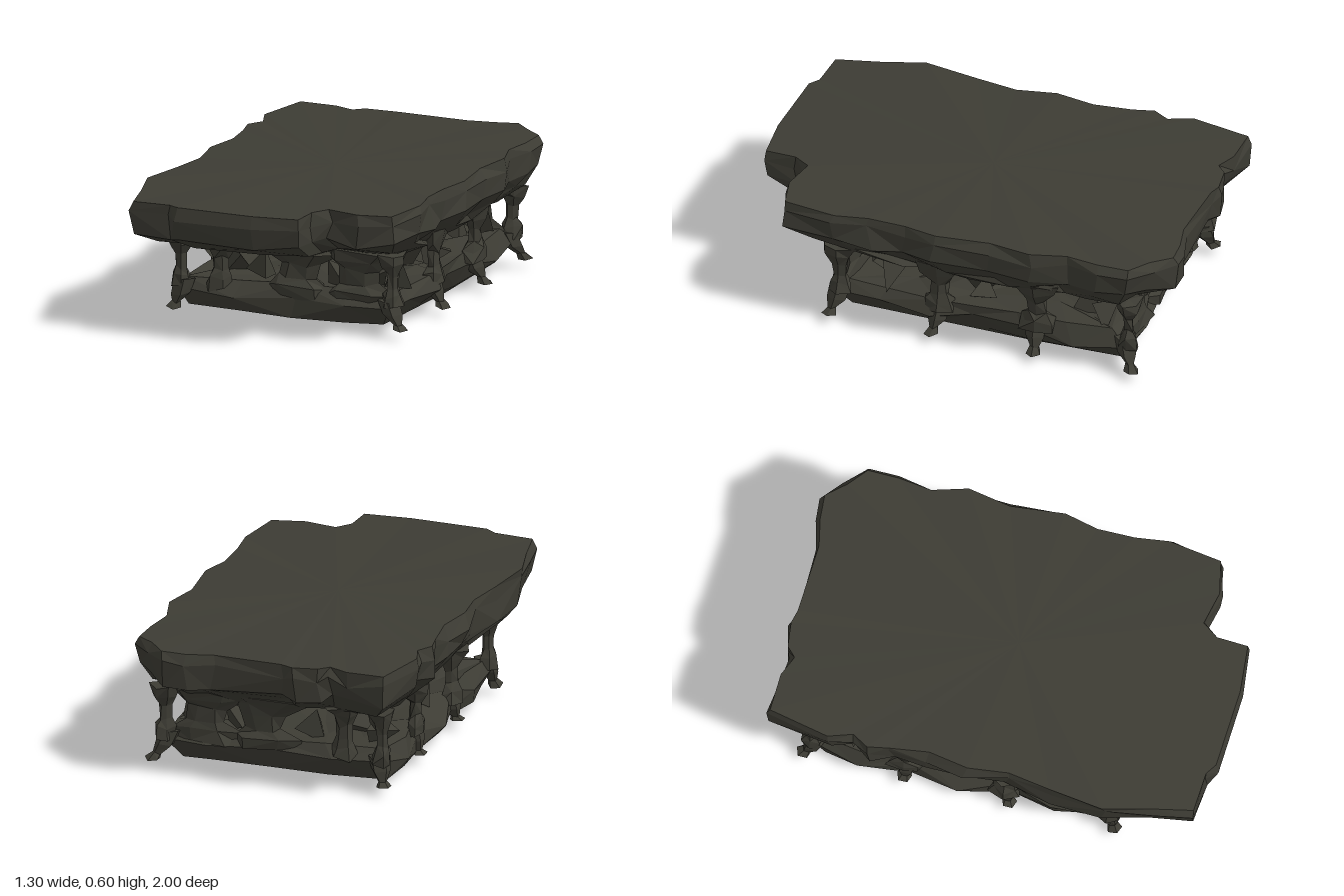
import * as THREE from 'three';

const stone = new THREE.MeshStandardMaterial({ color: 0x3d3c34, flatShading: true, side: THREE.DoubleSide });
stone.name = 'dark stone';

// Seeded roughness, from -1 to 1
let seed = 7;
function rough() {
  seed = (seed * 16807) % 2147483647;
  return (seed / 2147483647) * 2 - 1;
}

// Skin rings of [x, y, z] points, listed from top to bottom, and cap both ends with fans
function loft(name, rings, topCentre, bottomCentre) {
  const n = rings[0].length, last = (rings.length - 1) * n;
  const points = [...rings.flat(), topCentre, bottomCentre];
  const top = points.length - 2, bottom = top + 1;
  const index = [];
  for (let i = 0; i < n; i++) {
    const j = (i + 1) % n;
    index.push(top, j, i, bottom, last + i, last + j);
    for (let r = 0; r < last; r += n) {
      // Alternate the diagonals for a chipped look
      if ((i + r / n) % 2) index.push(r + i, r + j, r + n + i, r + j, r + n + j, r + n + i);
      else index.push(r + i, r + j, r + n + j, r + i, r + n + j, r + n + i);
    }
  }
  let g = new THREE.BufferGeometry();
  g.setAttribute('position', new THREE.Float32BufferAttribute(points.flat(), 3));
  g.setIndex(index);
  g = g.toNonIndexed();
  g.computeVertexNormals();
  const mesh = new THREE.Mesh(g, stone);
  mesh.name = name;
  return mesh;
}

// One ring of an outline, scaled and shifted, with rough edges
function ring(outline, y, sx, sz, dz, jitter, yJitter = jitter) {
  return outline.map(([x, z]) => [
    x * sx + rough() * jitter, y + rough() * yJitter, z * sz + dz + rough() * jitter,
  ]);
}

// Uneven column, pinched at the waist and flared into both slabs
function column(name, x, z, rx, rz) {
  const sides = 6;
  const levels = [[0.38, 2.3], [0.335, 1.7], [0.285, 0.9], [0.225, 0.9], [0.19, 1.5], [0.14, 1.6]];
  const rings = levels.map(([y, s]) => Array.from({ length: sides }, (_, i) => {
    const a = (i / sides) * Math.PI * 2;
    const k = s * (1 + 0.25 * rough());
    return [x + Math.cos(a) * rx * k, y + rough() * 0.012, z + Math.sin(a) * rz * k];
  }));
  return loft(name, rings, [x, 0.38, z], [x, 0.14, z]);
}

// Small splayed foot leaning out from the lower slab
function foot(x, z, dx, dz) {
  const levels = [[0.17, 0.05, 0], [0.11, 0.045, 0.35], [0.07, 0.02, 0.75], [0.045, 0.035, 1]];
  const rings = levels.map(([y, r, t]) => Array.from({ length: 5 }, (_, i) => {
    const a = (i / 5) * Math.PI * 2;
    return [x + dx * t + Math.cos(a) * r, y + rough() * 0.008, z + dz * t + Math.sin(a) * r];
  }));
  return loft('foot', rings, [x, 0.17, z], [x + dx, 0.05, z + dz]);
}

export function createModel() {
  seed = 7;
  const model = new THREE.Group();
  model.name = 'stone table';

  // Table top: broken outline with a notch in the front left corner
  const edge = [
    [-0.57, -0.975], [-0.4, -0.975], [-0.31, -0.94], [-0.27, -0.98], [-0.16, -0.99], [-0.1, -0.97],
    [0.22, -0.97], [0.34, -0.99], [0.45, -1], [0.53, -0.92], [0.62, -0.85], [0.62, -0.7],
    [0.6, -0.56], [0.645, -0.4], [0.62, -0.2], [0.64, 0.05], [0.6, 0.2], [0.61, 0.36],
    [0.63, 0.52], [0.6, 0.76], [0.45, 0.79], [0.3, 0.76], [0.24, 0.83], [0.24, 0.97],
    [0.02, 0.99], [-0.33, 0.98], [-0.38, 0.94], [-0.57, 0.93], [-0.6, 0.75], [-0.655, 0.55],
    [-0.63, 0.3], [-0.6, 0.1], [-0.63, -0.08], [-0.6, -0.25], [-0.61, -0.42], [-0.63, -0.52],
    [-0.6, -0.6], [-0.63, -0.7],
  ];
  model.add(loft('tableTop', [
    ring(edge, 0.602, 0.985, 0.99, 0, 0.008, 0.004),
    ring(edge, 0.55, 1, 1, 0, 0.012, 0.02),
    ring(edge, 0.46, 0.99, 0.985, 0, 0.018, 0.022),
    ring(edge, 0.4, 0.9, 0.87, -0.02, 0.025, 0.015),
    ring(edge, 0.345, 0.83, 0.68, -0.12, 0.022, 0.014),
    ring(edge, 0.365, 0.66, 0.52, -0.12, 0.03, 0.025),
    ring(edge, 0.385, 0.34, 0.27, -0.12, 0.03, 0.025),
  ], [0, 0.607, 0], [0, 0.39, -0.12]));

  // Lower slab: sagging underside with its low point off centre
  const base = [
    [-0.5, -0.78], [-0.25, -0.81], [0.05, -0.8], [0.3, -0.81], [0.49, -0.77], [0.53, -0.55],
    [0.5, -0.3], [0.52, -0.1], [0.53, 0.1], [0.5, 0.33], [0.5, 0.53], [0.28, 0.56],
    [0.04, 0.57], [-0.24, 0.55], [-0.5, 0.54], [-0.53, 0.3], [-0.5, 0.1], [-0.53, -0.12],
    [-0.5, -0.35], [-0.53, -0.58],
  ];
  const underside = ring(base, 0.05, 0.97, 0.95, 0, 0.015, 0.008)
    .map(([x, y, z]) => [Math.min(x, 0.44), y - 0.015 * Math.max(x, 0), z]);
  model.add(loft('lowerSlab', [
    ring(base, 0.185, 0.45, 0.45, -0.06, 0.03, 0.025),
    ring(base, 0.19, 0.75, 0.76, -0.03, 0.03, 0.025),
    ring(base, 0.185, 0.94, 0.94, 0, 0.02, 0.018),
    ring(base, 0.12, 1, 1, 0, 0.025, 0.025),
    underside,
  ], [0, 0.185, -0.12], [0.4, 0.003, -0.3]));

  // Side columns, mirrored, with their feet
  for (const s of [-1, 1]) {
    for (const [z, r] of [[0.53, 0.036], [0.07, 0.046], [-0.38, 0.05], [-0.8, 0.028]]) {
      model.add(column('sideColumn', s * 0.5, z, 0.028, r));
    }
    for (const [z, dz] of [[0.53, 0.03], [0.07, 0.02], [-0.37, -0.01], [-0.78, -0.05]]) {
      model.add(foot(s * 0.48, z, s * (s > 0 ? 0.07 : 0.04), dz));
    }
  }

  // Front and back columns
  for (const z of [0.51, -0.77]) {
    model.add(column('endColumn', -0.32, z, 0.04, 0.03));
    model.add(column('endColumn', 0.05, z, 0.1, 0.03));
    model.add(column('endColumn', 0.32, z, 0.1, 0.03));
  }

  // Broken shards standing between the columns around the rim
  const shards = [[-0.13, 0.42], [-0.13, -0.7], [0.2, 0.42], [0.2, -0.7]];
  for (const z of [0.31, -0.13, -0.64]) shards.push([-0.42, z], [0.42, z], [-0.32, z + 0.06], [0.32, z + 0.06]);
  for (const [x, z] of shards) {
    const shard = new THREE.Mesh(new THREE.TetrahedronGeometry(0.11), stone);
    shard.name = 'shard';
    shard.position.set(x + rough() * 0.02, 0.23, z + rough() * 0.03);
    shard.rotation.set(rough() * 2, rough() * 3, rough() * 2);
    shard.scale.set(1, 0.65 + 0.15 * rough(), 0.8);
    model.add(shard);
  }
  return model;
}
